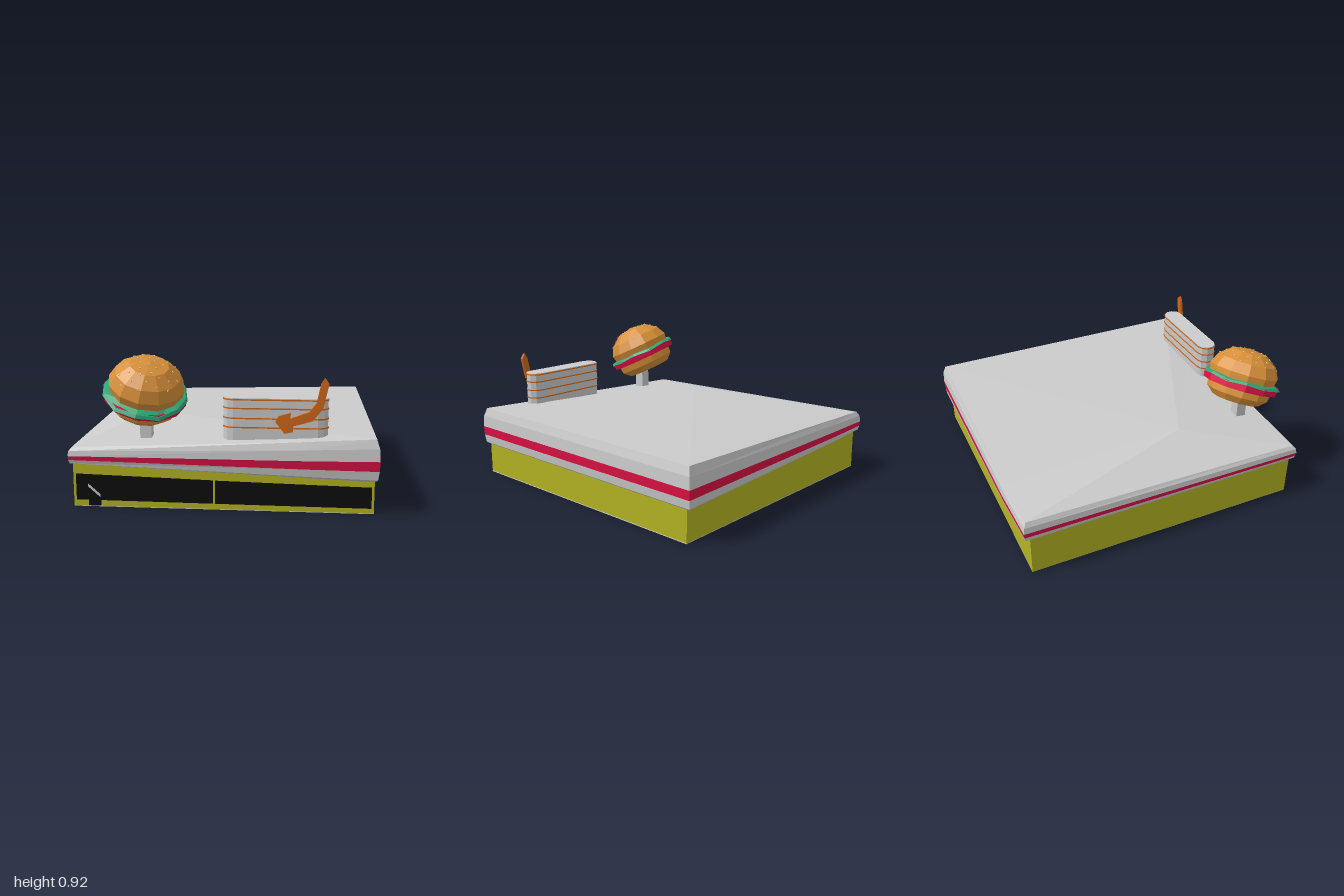
import * as THREE from 'three';

const mat = (color, extra = {}) => new THREE.MeshStandardMaterial({ color, flatShading: true, ...extra });
const GREY = mat(0xcccccc), YELLOW = mat(0xb4b424), RED = mat(0xdd1144), BLACK = mat(0x0c0c0c);
const ORANGE = mat(0xd0681a), BUN = mat(0xd89038), SEED = mat(0xe0bc88);

function add(parent, name, geometry, material, x = 0, y = 0, z = 0) {
  const mesh = new THREE.Mesh(geometry, material);
  mesh.name = name;
  mesh.position.set(x, y, z);
  parent.add(mesh);
  return mesh;
}

// Flat outline given as [x, y] pairs, pushed along z
function slab(points, depth) {
  const shape = new THREE.Shape(points.map(([x, y]) => new THREE.Vector2(x, y)));
  return new THREE.ExtrudeGeometry(shape, { depth, bevelEnabled: false });
}

// Stadium outline, laid flat and raised by height
function stadium(halfLength, radius, height) {
  const shape = new THREE.Shape();
  const n = 5;
  for (const side of [1, -1]) {
    for (let i = 0; i <= n; i++) {
      const a = -Math.PI / 2 + (Math.PI * i) / n;
      const x = side * (halfLength - radius + radius * Math.cos(a)), y = side * radius * Math.sin(a);
      if (side === 1 && i === 0) shape.moveTo(x, y); else shape.lineTo(x, y);
    }
  }
  return new THREE.ExtrudeGeometry(shape, { depth: height, bevelEnabled: false }).rotateX(-Math.PI / 2);
}

function makeRoof() {
  const roof = new THREE.Group();
  roof.name = 'roof';
  // Corner rule: side x, side z, bottom height, top height, extra bulge
  const corners = [
    [-0.9, 0.89, 0.27, 0.375, 0], [0.5, 0.89, 0.216, 0.437, 0.005], [0.9, 0.89, 0.2, 0.46, 0],
    [0.9, -0.96, 0.2, 0.46, 0], [-0.55, -0.96, 0.257, 0.425, 0.01], [-0.9, -0.96, 0.27, 0.41, 0],
  ];
  const levels = [[0, 0], [0.06, 0.02], [0.27, 0.027], [0.5, 0.03], [0.79, 0.025], [1, 0.008]];
  const ring = ([t, out]) => corners.map(([x, z, lo, hi, bulge]) => [
    x + (Math.abs(x) > 0.8 ? Math.sign(x) * out : 0), lo + (hi - lo) * t, z + Math.sign(z) * (out + bulge)]);
  const rings = levels.map(ring);
  const peak = [-0.55, 0.475, 0.23];

  const surface = (name, from, to, material, cap) => {
    const p = [];
    for (let l = from; l < to; l++) for (let i = 0; i < 6; i++) {
      const j = (i + 1) % 6;
      const [a, b, c, d] = [rings[l][i], rings[l][j], rings[l + 1][j], rings[l + 1][i]];
      p.push(...a, ...b, ...c, ...a, ...c, ...d);
    }
    if (cap) for (let i = 0; i < 6; i++) p.push(...rings[5][i], ...rings[5][(i + 1) % 6], ...peak);
    const g = new THREE.BufferGeometry();
    g.setAttribute('position', new THREE.Float32BufferAttribute(p, 3));
    g.computeVertexNormals();
    add(roof, name, g, material);
  };
  surface('roofLowerTrim', 0, 2, GREY, false);
  surface('roofRedBand', 2, 3, RED, false);
  surface('roofTop', 3, 5, GREY, true);
  return roof;
}

function makeBuilding() {
  const building = new THREE.Group();
  building.name = 'building';
  add(building, 'walls', slab([[-0.91, 0.004], [0.905, 0.004], [0.905, 0.215], [-0.91, 0.285]], 1.83), YELLOW, 0, 0, -0.95);
  add(building, 'floor', new THREE.BoxGeometry(1.815, 0.004, 1.83), GREY, 0, 0.002, -0.035);
  // Front glazing follows the slope of the roof
  add(building, 'windowRight', slab([[-0.893, 0.042], [-0.055, 0.038], [-0.055, 0.183], [-0.893, 0.205]], 0.006), BLACK, 0, 0, 0.878);
  add(building, 'windowLeft', slab([[-0.042, 0.038], [0.89, 0.034], [0.89, 0.163], [-0.042, 0.182]], 0.006), BLACK, 0, 0, 0.878);
  add(building, 'door', new THREE.BoxGeometry(0.074, 0.19, 0.02), BLACK, -0.778, 0.105, 0.885);
  add(building, 'doorBar', slab([[-0.815, 0.13], [-0.742, 0.065], [-0.742, 0.083], [-0.815, 0.148]], 0.004), GREY, 0, 0, 0.894);
  return building;
}

function makeSign() {
  const sign = new THREE.Group();
  sign.name = 'sign';
  add(sign, 'signBody', stadium(0.315, 0.064, 0.28), GREY, 0.315, 0.4, 0.782);
  for (const y of [0.5, 0.555, 0.615, 0.667])
    add(sign, 'signStripe', stadium(0.319, 0.068, 0.008), ORANGE, 0.315, y, 0.782);
  const arrow = [
    [0.315, 0.545], [0.335, 0.58], [0.408, 0.6], [0.402, 0.565], [0.515, 0.607], [0.555, 0.66], [0.58, 0.775],
    [0.602, 0.81], [0.627, 0.775], [0.595, 0.63], [0.535, 0.553], [0.42, 0.52], [0.42, 0.485], [0.37, 0.475]];
  add(sign, 'arrow', slab(arrow, 0.018), ORANGE, 0, 0, 0.848);
  return sign;
}

function makeBurger() {
  const burger = new THREE.Group();
  burger.name = 'burger';
  const lathe = (pts) => new THREE.LatheGeometry(pts.map(([r, y]) => new THREE.Vector2(r, y)), 12);
  const dome = [[0.235, 0.055], [0.2, 0.125], [0.12, 0.185], [0, 0.205]];
  add(burger, 'topBun', lathe([[0, 0.005], [0.225, 0.005], ...dome]), BUN);
  add(burger, 'bottomBun', lathe([[0, -0.155], [0.165, -0.148], [0.215, -0.1], [0.22, -0.04], [0, -0.04]]), BUN);
  add(burger, 'tomato', new THREE.CylinderGeometry(0.258, 0.255, 0.045, 12), RED, 0, -0.028, 0);

  // Lettuce leaf: rim alternates in height and reaches out and down at the front
  const leaf = lathe([[0.2, 0.015], [0.25, 0.008], [0.262, -0.008], [0.2, -0.006]]);
  const p = leaf.attributes.position;
  for (let i = 0; i < p.count; i++) {
    const x = p.getX(i), z = p.getZ(i), r = Math.hypot(x, z);
    if (r < 0.24) continue;
    const a = Math.atan2(x, z), front = Math.max(0, Math.cos(a));
    const k = 1 + 0.06 * front;
    p.setXYZ(i, x * k, p.getY(i) + 0.006 * Math.cos(6 * a) - 0.018 * front, z * k);
  }
  leaf.computeVertexNormals();
  add(burger, 'lettuce', leaf, mat(0x2fa878, { side: THREE.DoubleSide }));

  // Sesame seeds spiral over the dome
  const seedShape = new THREE.SphereGeometry(1, 5, 4).scale(0.005, 0.004, 0.01);
  const up = new THREE.Vector3(0, 1, 0);
  for (let i = 0; i < 40; i++) {
    const r = 0.21 * Math.sqrt((i + 0.5) / 40), a = i * 2.4;
    const k = dome.findIndex(([dr]) => dr <= r);
    const [r0, y0] = dome[k - 1], [r1, y1] = dome[k];
    const y = y0 + ((y1 - y0) * (r0 - r)) / (r0 - r1);
    const fit = 0.98;
    const seed = add(burger, 'seed', seedShape, SEED, r * fit * Math.sin(a), y + 0.001, r * fit * Math.cos(a));
    const normal = new THREE.Vector3(Math.sin(a) * (y1 - y0), r0 - r1, Math.cos(a) * (y1 - y0)).normalize();
    seed.quaternion.setFromUnitVectors(up, normal);
    seed.rotateY(i * 1.7);
  }
  // Leans forward and to one side
  burger.quaternion.setFromUnitVectors(up, new THREE.Vector3(0.23, 1, 0.42).normalize());
  burger.position.set(-0.478, 0.7, 0.742);
  return burger;
}

export function createModel() {
  const model = new THREE.Group();
  model.name = 'burgerRestaurant';
  model.add(makeBuilding(), makeRoof(), makeSign(), makeBurger());
  add(model, 'burgerPost', new THREE.BoxGeometry(0.07, 0.2, 0.07), GREY, -0.478, 0.48, 0.74);
  return model;
}
